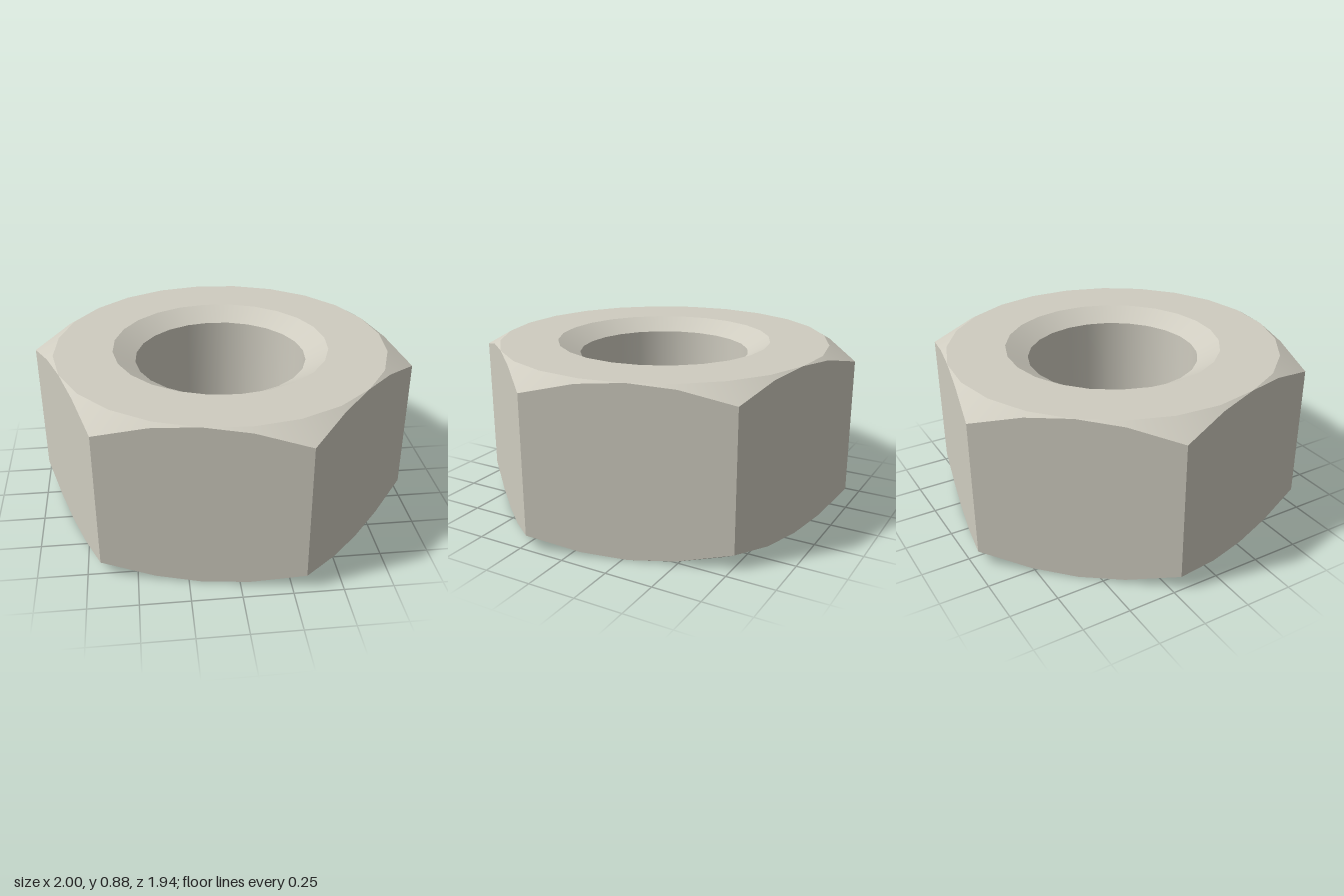
import * as THREE from 'three';

const SEG = 24, TURN = 11.9 * Math.PI / 180;
const H = 0.885;              // height
const FLAT = 0.885;           // centre to flat
const SLOPE = Math.tan(Math.PI / 6);
const BORE = 0.458, SINK = 0.575;
const SINK_DEPTH = (SINK - BORE) * SLOPE;

// Rings give [radius, height] for a segment index
const circle = (r, y) => () => [r, y];
const hexRadius = i => FLAT / Math.cos((i % 4) * Math.PI / 12 - Math.PI / 6);
const drop = i => (hexRadius(i) - FLAT) * SLOPE;
const hexLow = i => [hexRadius(i), drop(i)];
const hexHigh = i => [hexRadius(i), H - drop(i)];

// Band between two rings; normal is [radial, vertical], or null for flat facets
function band(name, a, b, normal, material) {
  const pos = [], nor = [];
  const put = (ring, i) => {
    const [r, y] = ring(i % SEG);
    const t = TURN + (i / SEG) * Math.PI * 2, c = Math.cos(t), s = Math.sin(t);
    pos.push(r * c, y, r * s);
    if (normal) {
      const n = new THREE.Vector3(normal[0] * c, normal[1], normal[0] * s).normalize();
      nor.push(n.x, n.y, n.z);
    }
  };
  for (let i = 0; i < SEG; i++) {
    put(a, i); put(b, i); put(a, i + 1);
    put(a, i + 1); put(b, i); put(b, i + 1);
  }
  const g = new THREE.BufferGeometry();
  g.setAttribute('position', new THREE.Float32BufferAttribute(pos, 3));
  if (normal) g.setAttribute('normal', new THREE.Float32BufferAttribute(nor, 3));
  else g.computeVertexNormals();
  const mesh = new THREE.Mesh(g, material);
  mesh.name = name;
  return mesh;
}

export function createModel() {
  const steel = new THREE.MeshStandardMaterial({ color: 0xcfccc0 });
  steel.name = 'steel';
  const nut = new THREE.Group();
  nut.name = 'hexNut';

  const rimLow = circle(FLAT, 0), rimHigh = circle(FLAT, H);
  const sinkLow = circle(SINK, 0), sinkHigh = circle(SINK, H);
  const boreLow = circle(BORE, SINK_DEPTH), boreHigh = circle(BORE, H - SINK_DEPTH);

  nut.add(
    // Outside, from bottom to top
    band('bottomChamfer', rimLow, hexLow, [SLOPE, -1], steel),
    band('hexSides', hexLow, hexHigh, null, steel),
    band('topChamfer', hexHigh, rimHigh, [SLOPE, 1], steel),
    band('topFace', rimHigh, sinkHigh, [0, 1], steel),
    // Through the hole and back to the outside
    band('topCountersink', sinkHigh, boreHigh, [-SLOPE, 1], steel),
    band('bore', boreHigh, boreLow, [-1, 0], steel),
    band('bottomCountersink', boreLow, sinkLow, [-SLOPE, -1], steel),
    band('bottomFace', sinkLow, rimLow, [0, -1], steel),
  );
  return nut;
}
